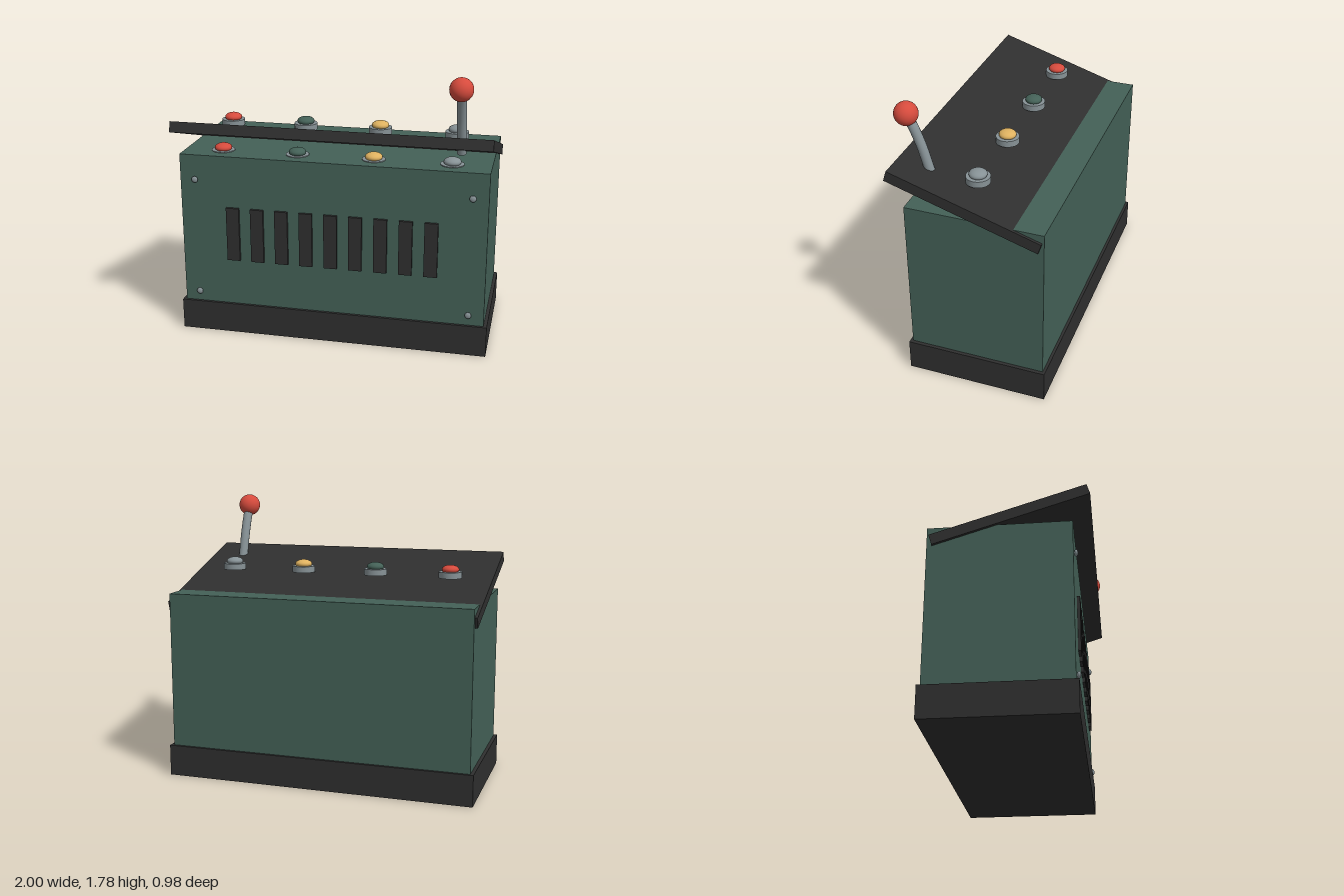
import * as THREE from 'three';

const paint = (name, color) => {
  const m = new THREE.MeshStandardMaterial({ color });
  m.name = name;
  return m;
};

export function createModel() {
  const green = paint('cabinet green', 0x446157);
  const dark = paint('charcoal', 0x2f2f2f);
  const steel = paint('steel grey', 0x879296);
  const red = paint('signal red', 0xd64b3d);
  const amber = paint('amber', 0xdfb260);

  const model = new THREE.Group();
  model.name = 'controlConsole';

  const add = (name, geometry, material, x, y, z, parent = model) => {
    const mesh = new THREE.Mesh(geometry, material);
    mesh.name = name;
    mesh.position.set(x, y, z);
    parent.add(mesh);
    return mesh;
  };

  // Plinth and cabinet
  add('base', new THREE.BoxGeometry(2, 0.2, 0.89), dark, 0, 0.1, -0.045);
  add('cabinet', new THREE.BoxGeometry(1.956, 1, 0.855), green, 0, 0.7, -0.045);

  // Tilted control panel, rising towards the front
  const panel = add('controlPanel', new THREE.BoxGeometry(1.99, 0.068, 0.973), dark, 0, 1.258, 0.014);
  panel.rotation.x = -0.3;

  // Vent slats on the front
  const slat = new THREE.BoxGeometry(0.084, 0.355, 0.02);
  for (let i = 0; i < 9; i++) {
    add('ventSlat', slat, dark, (i - 4) * 0.159, 0.687, 0.391);
  }

  // Corner screws
  const screw = new THREE.SphereGeometry(0.021, 16, 12).scale(1, 1, 0.55);
  for (const x of [-0.88, 0.88]) {
    for (const y of [0.27, 1.04]) add('screw', screw, steel, x, y, 0.393);
  }

  // Two rows of push buttons: on the panel and on the cabinet top
  const collar = new THREE.CylinderGeometry(0.074, 0.074, 0.04, 24);
  const cap = new THREE.SphereGeometry(0.055, 24, 16).scale(1, 0.52, 1);
  const capColours = [red, green, amber, steel];
  for (const [y, z] of [[1.33, 0.014], [1.185, 0.236]]) {
    capColours.forEach((material, i) => {
      const button = new THREE.Group();
      button.name = 'pushButton';
      button.position.set((i - 1.5) * 0.489, y, z);
      add('buttonCollar', collar, steel, 0, 0, 0, button);
      add('buttonCap', cap, material, 0, 0.033, 0, button);
      model.add(button);
    });
  }

  // Curved lever with a ball knob
  const path = new THREE.CatmullRomCurve3([
    [1.285, 0.267], [1.4, 0.3], [1.51, 0.332], [1.62, 0.374], [1.71, 0.42],
  ].map(([y, z]) => new THREE.Vector3(0.79, y, z)));
  add('leverRod', new THREE.TubeGeometry(path, 20, 0.03, 14), steel, 0, 0, 0);
  const end = add('leverRodEnd', new THREE.CircleGeometry(0.03, 14), steel, 0.79, 1.285, 0.267);
  end.lookAt(path.getPoint(0).sub(path.getTangent(0)));
  add('leverKnob', new THREE.SphereGeometry(0.072, 28, 20), red, 0.79, 1.711, 0.42);

  return model;
}
